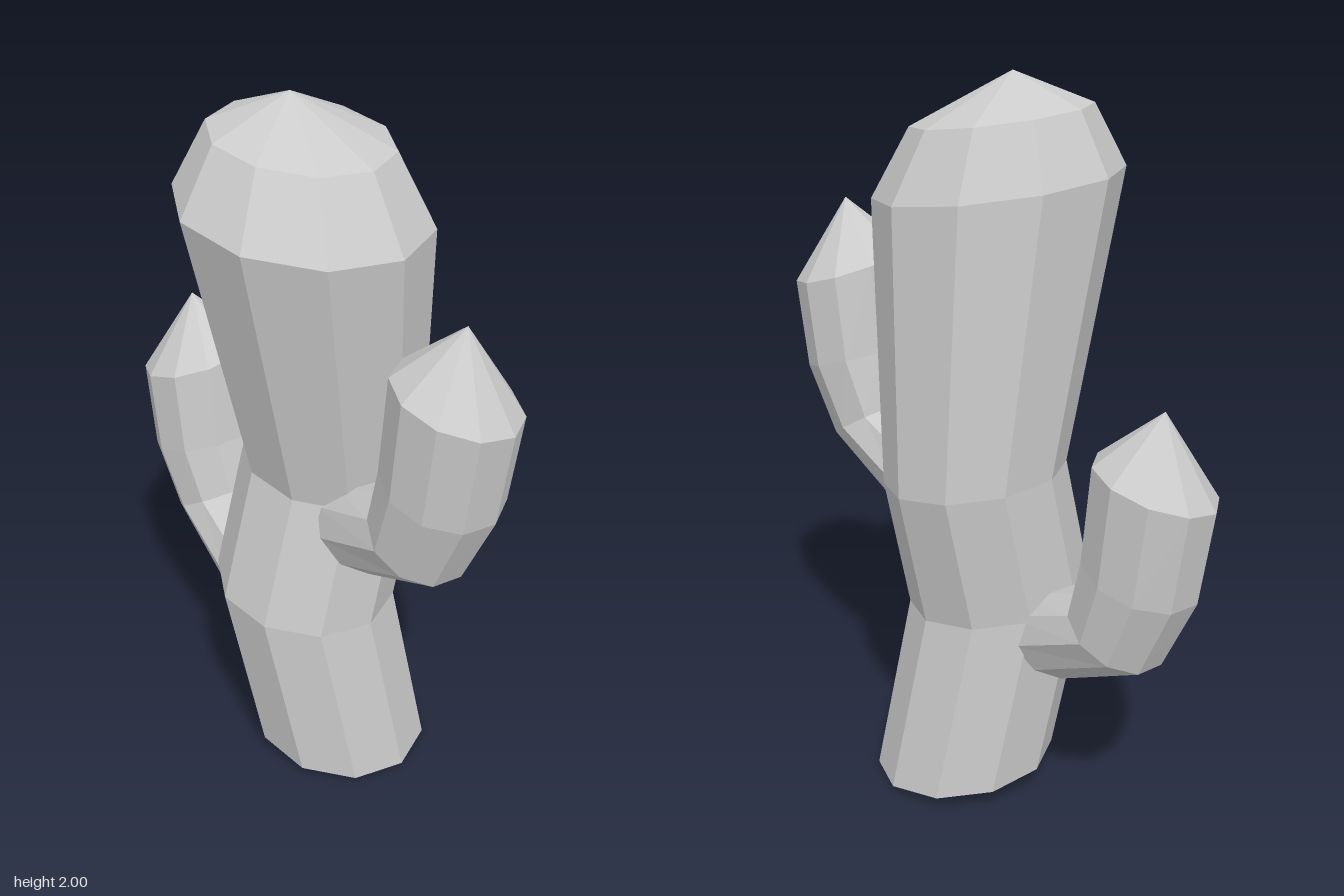
import * as THREE from 'three';

const SIDES = 10;
const material = new THREE.MeshStandardMaterial({ color: 0xcccccc, flatShading: true });

// Each ring: centre, radius and the direction its plane faces
function ringPoints({ at, r, facing }, phase) {
  const tilt = new THREE.Quaternion().setFromUnitVectors(
    new THREE.Vector3(0, 1, 0), new THREE.Vector3(...facing).normalize());
  return Array.from({ length: SIDES }, (_, i) => {
    const a = phase + (i / SIDES) * Math.PI * 2;
    return new THREE.Vector3(Math.cos(a) * r, 0, Math.sin(a) * r)
      .applyQuaternion(tilt).add(new THREE.Vector3(...at));
  });
}

// Skin a stack of rings, closed by a flat base and a pointed tip
function stem(name, rings, tip, phaseDegrees) {
  const phase = THREE.MathUtils.degToRad(phaseDegrees);
  const loops = rings.map((ring) => ringPoints(ring, phase));
  const apex = new THREE.Vector3(...tip);
  const base = new THREE.Vector3(...rings[0].at);
  const points = [];
  for (let i = 0; i < SIDES; i++) {
    const j = (i + 1) % SIDES;
    points.push(base, loops[0][i], loops[0][j]);
    for (let k = 0; k < loops.length - 1; k++) {
      const low = loops[k], high = loops[k + 1];
      points.push(low[i], high[i], low[j], low[j], high[i], high[j]);
    }
    const top = loops[loops.length - 1];
    points.push(top[i], apex, top[j]);
  }
  const geometry = new THREE.BufferGeometry().setFromPoints(points);
  geometry.computeVertexNormals();
  const mesh = new THREE.Mesh(geometry, material);
  mesh.name = name;
  return mesh;
}

export function createModel() {
  const cactus = new THREE.Group();
  cactus.name = 'cactus';

  // Crooked trunk, widening to a domed top
  const lean = [0.11, 1, 0.08];
  cactus.add(stem('trunk', [
    { at: [0.083, 0.034, 0.005], r: 0.257, facing: lean },
    { at: [-0.02, 0.56, -0.005], r: 0.257, facing: lean },
    { at: [0.06, 0.945, -0.04], r: 0.25, facing: lean },
    { at: [-0.025, 1.715, 0.035], r: 0.333, facing: lean },
    { at: [-0.028, 1.89, 0.015], r: 0.238, facing: lean },
  ], [-0.055, 2, 0.01], 14));

  // Two matching arms on opposite sides, the back one set lower
  const armRings = [
    { at: [0.12, 0.855, 0.17], r: 0.14, facing: [0.33, 0.65, 0.6] },
    { at: [0.23, 0.97, 0.41], r: 0.145, facing: [0.28, 0.85, 0.42] },
    { at: [0.27, 1.15, 0.46], r: 0.163, facing: [0.2, 1, 0.24] },
    { at: [0.288, 1.41, 0.488], r: 0.17, facing: [0.28, 1, 0.13] },
  ];
  const frontArm = stem('frontArm', armRings, [0.3, 1.6, 0.5], 9);
  const backArm = stem('backArm', armRings, [0.3, 1.6, 0.5], 9);
  backArm.rotation.y = Math.PI;
  backArm.position.y = -0.355;
  cactus.add(frontArm, backArm);

  return cactus;
}
